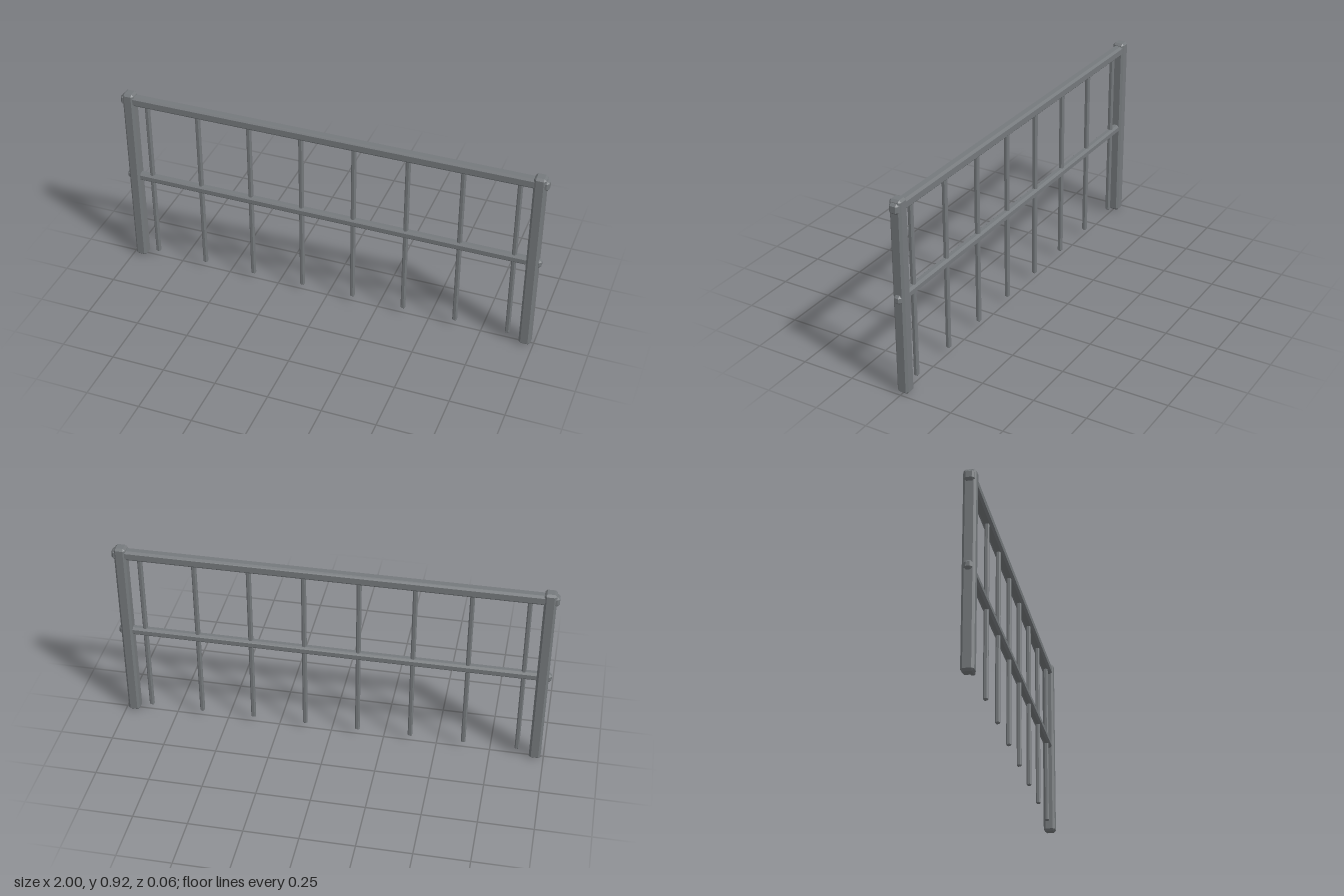
import * as THREE from 'three';
import { ConvexGeometry } from 'three/addons/geometries/ConvexGeometry.js';

// Box with every edge chamfered by c: the hull of three slightly inset boxes
function chamferBox(w, h, d, c) {
  const points = [];
  for (const sx of [-1, 1]) for (const sy of [-1, 1]) for (const sz of [-1, 1]) {
    const x = w / 2, y = h / 2, z = d / 2;
    points.push(
      new THREE.Vector3(sx * x, sy * (y - c), sz * (z - c)),
      new THREE.Vector3(sx * (x - c), sy * y, sz * (z - c)),
      new THREE.Vector3(sx * (x - c), sy * (y - c), sz * z)
    );
  }
  return new ConvexGeometry(points);
}

export function createModel() {
  const group = new THREE.Group();
  const metal = new THREE.MeshStandardMaterial({ color: 0x75797c, flatShading: true });

  const add = (name, geometry, x, y) => {
    const mesh = new THREE.Mesh(geometry, metal);
    mesh.name = name;
    mesh.position.set(x, y, 0);
    group.add(mesh);
  };

  // End posts
  const post = chamferBox(0.054, 0.915, 0.056, 0.01);
  add('rightPost', post, -0.96, 0.4575);
  add('leftPost', post, 0.96, 0.4575);

  // Rails run through the posts and poke out at both ends
  add('topRail', chamferBox(2, 0.048, 0.046, 0.01), 0, 0.878);
  add('middleRail', chamferBox(2, 0.04, 0.037, 0.01), 0, 0.461);

  // Thin balusters, hanging from the top rail and stopping short of the ground
  const baluster = chamferBox(0.021, 0.85, 0.021, 0.005);
  for (let i = 0; i < 8; i++) add(`baluster${i + 1}`, baluster, -0.875 + i * 0.25, 0.455);

  return group;
}
